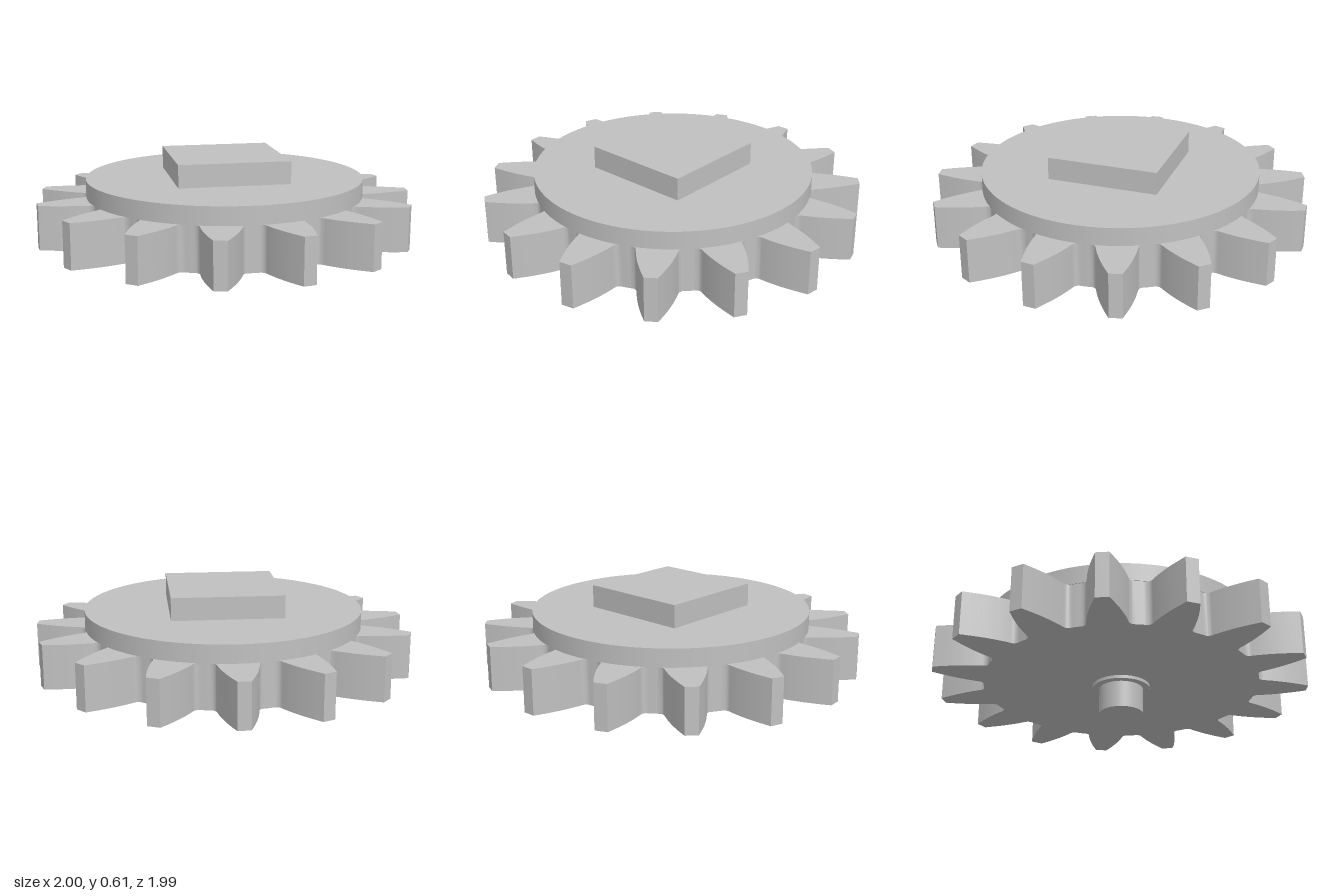
import * as THREE from 'three';
import { toCreasedNormals } from 'three/addons/utils/BufferGeometryUtils.js';

const TEETH = 15;
const ROOT = 0.737;

// Outline of the toothed wheel: one half-tooth flank, mirrored and repeated
function gearShape() {
  const pitch = (Math.PI * 2) / TEETH;
  const flank = new THREE.SplineCurve([
    [0.118, 0.7275], [0.104, 0.742], [0.099, 0.77], [0.092, 0.81],
    [0.078, 0.87], [0.058, 0.935], [0.033, 1.003],
  ].map(([x, y]) => new THREE.Vector2(x, y))).getPoints(18);
  const rootHalf = pitch / 2 - Math.atan2(0.118, 0.7275);
  const valley = [-0.5, 0, 0.5].map((t) => {
    const a = pitch / 2 + t * rootHalf;
    return new THREE.Vector2(ROOT * Math.sin(a), ROOT * Math.cos(a));
  });
  const mirrored = flank.map((p) => new THREE.Vector2(-p.x, p.y));
  const tooth = [...mirrored, ...flank.slice().reverse(), ...valley];
  const origin = new THREE.Vector2();
  const points = [];
  for (let i = 0; i < TEETH; i++) {
    for (const p of tooth) points.push(p.clone().rotateAround(origin, -i * pitch));
  }
  return new THREE.Shape(points.reverse());
}

export function createModel() {
  const model = new THREE.Group();
  model.name = 'gear';
  const metal = new THREE.MeshStandardMaterial({ color: 0xc0c0c0 });
  metal.name = 'grey metal';

  const add = (name, geometry, y) => {
    const mesh = new THREE.Mesh(geometry, metal);
    mesh.name = name;
    mesh.position.set(0, y, 0.007);
    model.add(mesh);
  };
  const disc = (name, radius, bottom, top) =>
    add(name, new THREE.CylinderGeometry(radius, radius, top - bottom, 96), (bottom + top) / 2);

  // Toothed wheel, with its first tooth pointing to the back
  const wheel = new THREE.ExtrudeGeometry(gearShape(), { depth: 0.235, bevelEnabled: false });
  wheel.rotateX(-Math.PI / 2);
  add('toothedWheel', toCreasedNormals(wheel, 0.6), 0.16);

  // Raised plate and square boss on top
  disc('topPlate', 0.74, 0.395, 0.49);
  add('squareBoss', new THREE.BoxGeometry(0.588, 0.12, 0.588), 0.55);

  // Collar and pin underneath
  disc('collar', 0.154, 0.143, 0.16);
  disc('pin', 0.117, 0, 0.143);

  return model;
}
